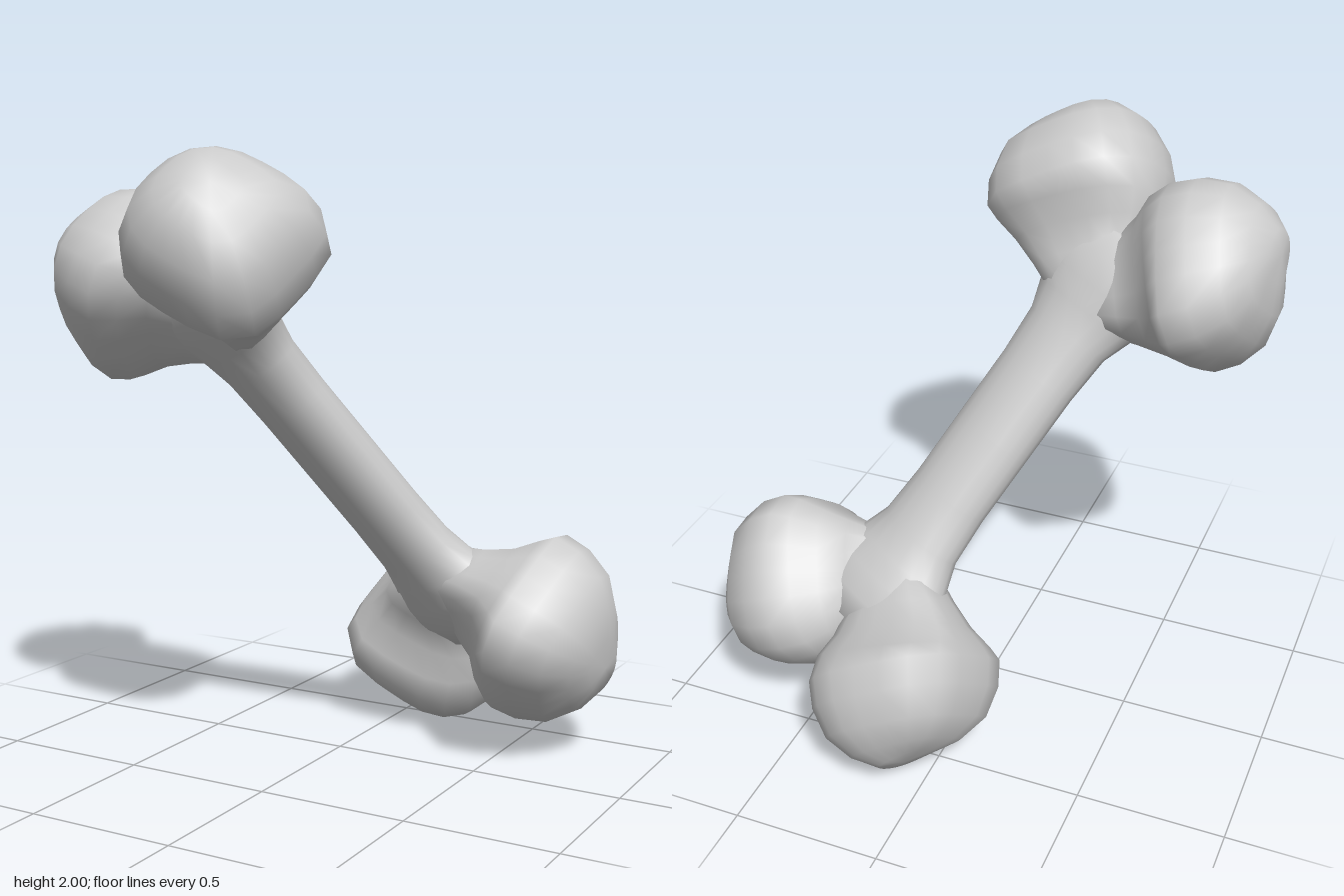
import * as THREE from 'three';
import { mergeVertices } from 'three/addons/utils/BufferGeometryUtils.js';

const material = new THREE.MeshStandardMaterial({ color: 0xcccccc });

// Smooth body from rings [half width x, half depth z, height y];
// each ring's unit circle point is first reshaped by a rule
function ringBody(rings, rule) {
  const geo = new THREE.LatheGeometry(rings.map(([w, , y]) => new THREE.Vector2(w > 0 ? 1 : 0, y)), 20);
  const pos = geo.attributes.position;
  const v = new THREE.Vector3();
  for (let i = 0; i < pos.count; i++) {
    const [w, d] = rings[i % rings.length];
    v.fromBufferAttribute(pos, i);
    if (w > 0) rule(v);
    v.x *= w;
    v.z *= d;
    pos.setXYZ(i, v.x, v.y, v.z);
  }
  geo.deleteAttribute('uv');
  geo.deleteAttribute('normal');
  const welded = mergeVertices(geo, 1e-4);
  welded.computeVertexNormals();
  return welded;
}

// Domed knob with a neck behind it: squarish, drooping rim on the shaft side
const KNOB = [[0, 0, -0.44], [0.12, 0.1, -0.4], [0.18, 0.125, -0.28], [0.23, 0.165, -0.19],
  [0.272, 0.235, -0.125], [0.288, 0.285, -0.06], [0.28, 0.277, 0.03], [0.24, 0.238, 0.127],
  [0.165, 0.163, 0.195], [0.08, 0.08, 0.23], [0, 0, 0.238]];

function knobGeometry(side) {
  return ringBody(KNOB, (v) => {
    const n = v.x * side > 0 ? 4 : 2.5;
    const k = Math.pow(Math.abs(v.x) ** n + Math.abs(v.z) ** n, -1 / n);
    v.x *= k;
    v.z *= k;
    if (v.y > -0.1) v.y -= 0.025 * side * v.x;
  });
}

// Shaft, flaring into the fork at both ends
function shaftGeometry() {
  const half = [[0.148, 0.11, 0], [0.148, 0.11, 0.25], [0.16, 0.112, 0.42], [0.2, 0.12, 0.52],
    [0.265, 0.132, 0.6], [0.3, 0.135, 0.69], [0.25, 0.115, 0.78], [0, 0, 0.82]];
  const rings = [...half.slice(1).reverse().map(([w, d, y]) => [w, d, -y]), ...half];
  return ringBody(rings, () => {});
}

export function createModel() {
  const model = new THREE.Group();
  model.name = 'bone';

  // Tilted frame: Y along the shaft, X from knob to knob
  const along = new THREE.Vector3(-0.433, 0.767, 0.474).normalize();
  const thick = new THREE.Vector3(0.882, 0.218, 0.423).cross(along).normalize();
  const across = along.clone().cross(thick);
  const bone = new THREE.Group();
  bone.name = 'tiltedBone';
  bone.quaternion.setFromRotationMatrix(new THREE.Matrix4().makeBasis(across, along, thick));
  bone.position.y = 1;
  model.add(bone);

  const shaft = new THREE.Mesh(shaftGeometry(), material);
  shaft.name = 'shaft';
  bone.add(shaft);

  // Two knobs at each end, domes facing outward
  for (const end of [1, -1]) {
    for (const side of [1, -1]) {
      const knob = new THREE.Mesh(knobGeometry(side * end), material);
      knob.name = (end > 0 ? 'upper' : 'lower') + (side > 0 ? 'Left' : 'Right') + 'Knob';
      knob.position.set(side * 0.287, end * 0.853, 0);
      knob.rotation.z = Math.atan2(-side, end);
      bone.add(knob);
    }
  }
  return model;
}
